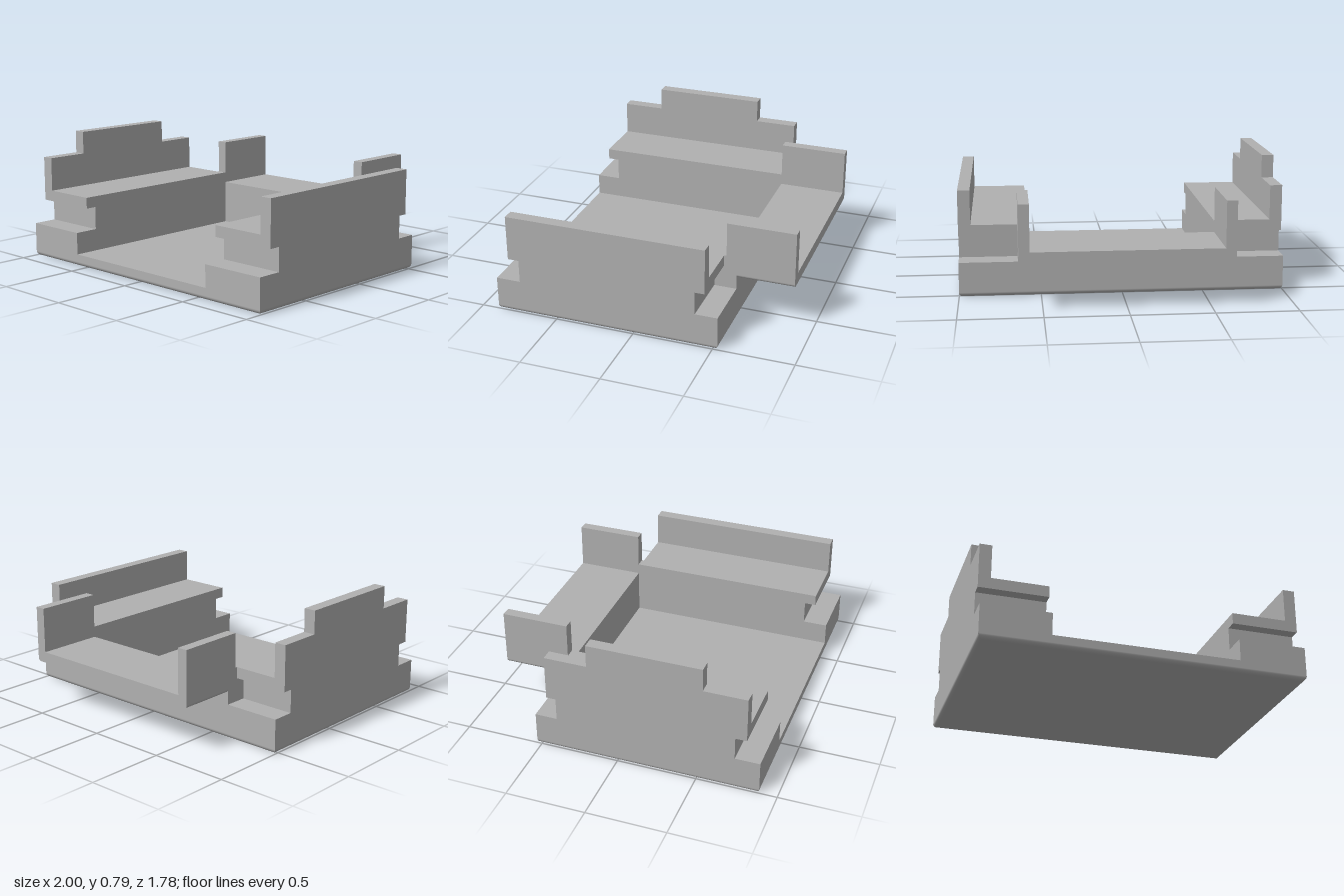
import * as THREE from 'three';

const FRONT = 0.89, BACK = -0.53, FLOOR = 0.075;
const CHANNEL = 0.575, TRAY = 0.64, TRAY_FRONT = -0.465;

// Extrudes a [z, y] outline along x, from x0 to x1
function sliceAlongX(points, x0, x1) {
  const shape = new THREE.Shape(points.map(([z, y]) => new THREE.Vector2(-z, y)));
  const geo = new THREE.ExtrudeGeometry(shape, { depth: x1 - x0, bevelEnabled: false });
  return geo.rotateY(Math.PI / 2).translate(x0, 0, 0);
}

// Slab whose bottom edges are rounded: rows of the box sides are laid on a quarter arc
function roundedSlab(width, height, depth, r) {
  const rows = 8;
  const geo = new THREE.BoxGeometry(width, height, depth, 1, rows, 1);
  const pos = geo.attributes.position, nor = geo.attributes.normal;
  for (let i = 0; i < pos.count; i++) {
    const row = Math.round((pos.getY(i) / height + 0.5) * rows);
    const a = Math.min(row / (rows - 1), 1) * Math.PI / 2;
    const inset = r * (1 - Math.sin(a));
    const y = row === rows ? height : r * (1 - Math.cos(a));
    pos.setXYZ(i, pos.getX(i) - Math.sign(pos.getX(i)) * inset, y,
      pos.getZ(i) - Math.sign(pos.getZ(i)) * inset);
    if (Math.abs(nor.getY(i)) < 0.5) {
      nor.setXYZ(i, nor.getX(i) * Math.sin(a), -Math.cos(a), nor.getZ(i) * Math.sin(a));
    }
  }
  return geo;
}

export function createModel() {
  const group = new THREE.Group();
  const grey = new THREE.MeshStandardMaterial({ color: 0xb0b0b0 });
  grey.name = 'plain grey';
  const add = (name, geo) => {
    const mesh = new THREE.Mesh(geo, grey);
    mesh.name = name;
    group.add(mesh);
  };

  // Base plate, which is also the channel floor
  add('basePlate', roundedSlab(2, FLOOR, FRONT - BACK, 0.027).translate(0, 0, (FRONT + BACK) / 2));

  // Outlines of the side blocks, with a groove under the shelf
  const frontSteps = [[FRONT, FLOOR], [FRONT, 0.215], [0.735, 0.215], [0.735, 0.36], [0.805, 0.36]];
  const backSteps = [[-0.45, 0.36], [-0.39, 0.36], [-0.39, 0.215], [BACK, 0.215], [BACK, FLOOR]];
  const inner = [...frontSteps, [0.805, 0.43], [TRAY_FRONT, 0.43], [TRAY_FRONT, FLOOR]];
  const shelf = [...frontSteps, [0.805, 0.43], [-0.45, 0.43], ...backSteps];
  const wall = (tab) => [...frontSteps, [0.805, 0.645], ...tab, [-0.45, 0.645], ...backSteps];
  const tab = [[0.535, 0.645], [0.535, 0.79], [-0.18, 0.79], [-0.18, 0.645]];

  for (const [side, s] of [['left', 1], ['right', -1]]) {
    const slice = (name, points, a, b) =>
      add(side + name, sliceAlongX(points, Math.min(s * a, s * b), Math.max(s * a, s * b)));
    slice('InnerBlock', inner, CHANNEL, TRAY);
    slice('ShelfBlock', shelf, TRAY, 0.925);
    slice('OuterWall', wall(s < 0 ? tab : []), 0.925, 1); // only the right wall has a raised tab
  }

  // Wall closing the back of the channel
  add('backWall', new THREE.BoxGeometry(2 * TRAY, 0.36 - FLOOR, TRAY_FRONT - BACK)
    .translate(0, (0.36 + FLOOR) / 2, (TRAY_FRONT + BACK) / 2));

  // Overhanging rear tray: a U section with rounded lower edges
  const r = 0.022, low = 0.29, high = 0.645;
  const u = new THREE.Shape();
  u.moveTo(-TRAY, high);
  u.lineTo(-TRAY, low + r);
  u.absarc(-TRAY + r, low + r, r, Math.PI, 1.5 * Math.PI, false);
  u.absarc(TRAY - r, low + r, r, 1.5 * Math.PI, 2 * Math.PI, false);
  u.lineTo(TRAY, high);
  u.lineTo(CHANNEL, high);
  u.lineTo(CHANNEL, 0.36);
  u.lineTo(-CHANNEL, 0.36);
  u.lineTo(-CHANNEL, high);
  const depth = TRAY_FRONT + 0.89;
  add('rearTray', new THREE.ExtrudeGeometry(u, { depth, bevelEnabled: false, curveSegments: 8 })
    .translate(0, 0, -0.89));

  return group;
}
